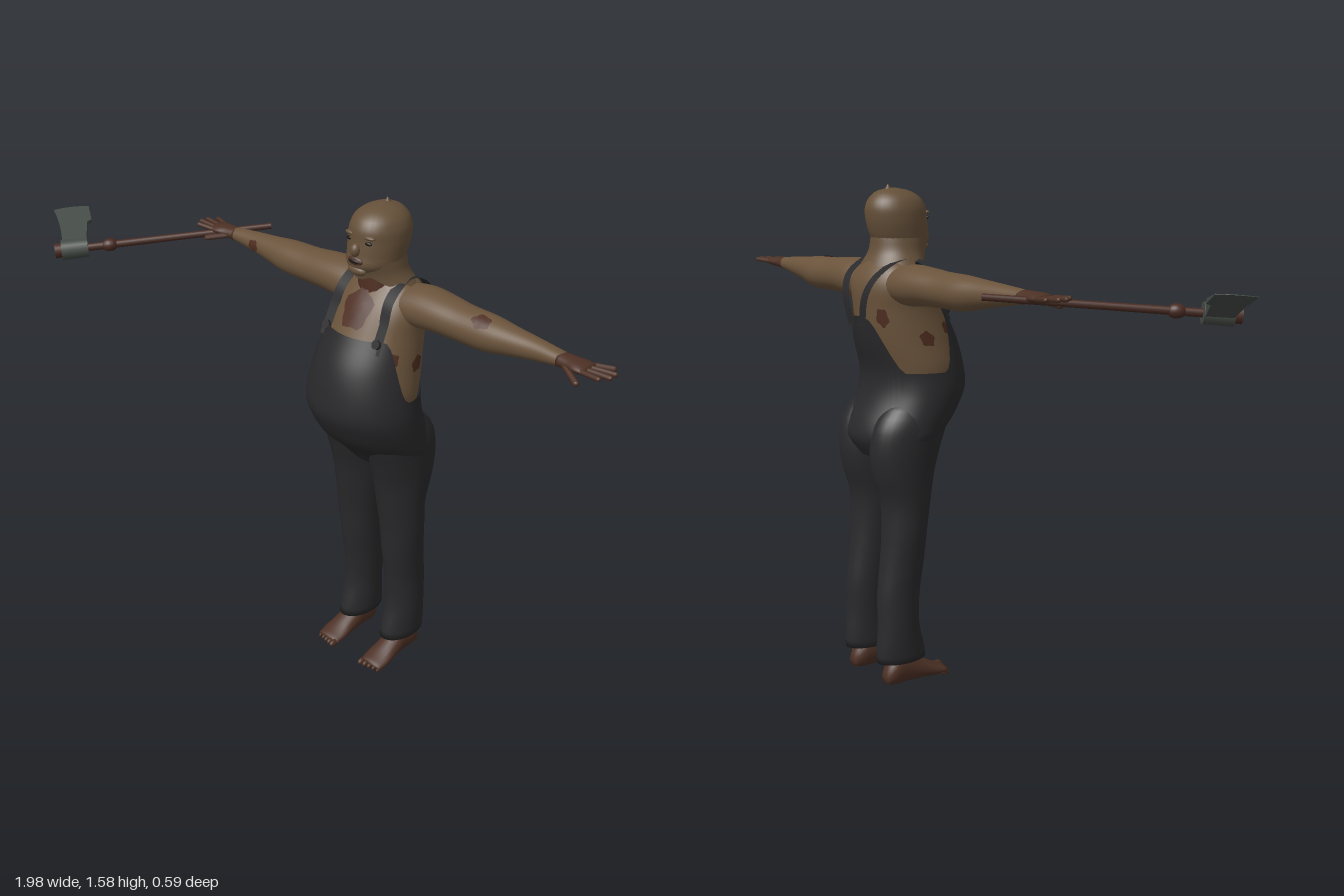
import * as THREE from 'three';

const mat = (name, color, side = THREE.FrontSide) => {
  const m = new THREE.MeshStandardMaterial({ color, side });
  m.name = name;
  return m;
};
const M = {
  skin: mat('skin', 0x6a533b),
  hood: mat('hood leather', 0x655039, THREE.DoubleSide),
  denim: mat('dark denim', 0x29292b, THREE.DoubleSide),
  dirty: mat('dirty skin', 0x4c3024),
  wound: mat('wound', 0x4d2c1f, THREE.DoubleSide),
  dark: mat('dark openings', 0x1f1814),
  wood: mat('handle wood', 0x472a21),
  steel: mat('steel', 0x444a45),
};

// Smooth lookup of section rows [t, centre1, centre2, radius1, radius2]
const sections = rows => {
  const curve = new THREE.CubicInterpolant(rows.map(r => r[0]), rows.flatMap(r => r.slice(1)), 4, new Float32Array(4));
  return t => Array.from(curve.evaluate(t));
};
// Point of a lofted surface; a is the angle around the axis
const surface = (at, axis, side, t, a, grow = 0) => {
  const [c1, c2, r1, r2] = at(t);
  const p = c1 + (r1 + grow) * Math.cos(a), q = c2 + (r2 + grow) * Math.sin(a);
  if (axis === 'y') return [side * p, t, q];
  return axis === 'x' ? [side * t, p, q] : [side * p, q, t];
};

// Loft through elliptical sections, with optional uneven ends and end caps
function loft(rows, { axis = 'y', side = 1, seg = 32, n = 28, from, to, caps = true } = {}) {
  const at = sections(rows), pos = [], idx = [];
  const t0 = from || (() => rows[0][0]), t1 = to || (() => rows[rows.length - 1][0]);
  const flip = (axis === 'y') !== (side < 0);
  const tri = (a, b, c) => flip ? idx.push(a, c, b) : idx.push(a, b, c);
  for (let j = 0; j <= n; j++) for (let i = 0; i < seg; i++) {
    const a = i / seg * Math.PI * 2;
    pos.push(...surface(at, axis, side, THREE.MathUtils.lerp(t0(a), t1(a), j / n), a));
  }
  for (let j = 0; j < n; j++) for (let i = 0; i < seg; i++) {
    const k = (i + 1) % seg, a = j * seg + i, b = j * seg + k;
    tri(a, b, b + seg);
    tri(a, b + seg, a + seg);
  }
  if (caps) for (const j of [0, n]) {
    const c = pos.length / 3, [c1, c2] = at(rows[j ? rows.length - 1 : 0][0]);
    pos.push(...surface(() => [c1, c2, 0, 0], axis, side, rows[j ? rows.length - 1 : 0][0], 0));
    for (let i = 0; i < seg; i++) {
      const a = j * seg + i, b = j * seg + (i + 1) % seg;
      j ? tri(a, b, c) : tri(b, a, c);
    }
  }
  return finish(pos, idx);
}
function finish(pos, idx) {
  const g = new THREE.BufferGeometry();
  g.setAttribute('position', new THREE.Float32BufferAttribute(pos, 3));
  g.setIndex(idx);
  g.computeVertexNormals();
  return g;
}
// Ragged thin blotch lying on a lofted surface
function blotch(rows, axis, side, t, a, rt, ra) {
  const at = sections(rows), pos = [...surface(at, axis, side, t, a, 0.004)], idx = [], n = 18;
  for (const ring of [0.5, 1]) for (let i = 0; i < n; i++) {
    const w = i / n * Math.PI * 2, k = ring * (1 + 0.13 * Math.sin(w * 5 + t * 40));
    pos.push(...surface(at, axis, side, t + rt * k * Math.sin(w), a + ra * k * Math.cos(w), 0.004));
  }
  for (let i = 0; i < n; i++) {
    const p = 1 + i, q = 1 + (i + 1) % n;
    idx.push(0, p, q, p, p + n, q + n, p, q + n, q);
  }
  return finish(pos, idx);
}

const TORSO = [[0.95, 0, -0.085, 0.165, 0.14], [1.02, 0, -0.092, 0.172, 0.143], [1.1, 0, -0.11, 0.161, 0.145],
  [1.2, 0, -0.14, 0.148, 0.128], [1.28, 0, -0.163, 0.146, 0.105], [1.33, 0, -0.168, 0.115, 0.075], [1.36, 0, -0.16, 0.06, 0.055]];
const OVERALLS = [[0.74, 0, -0.175, 0.13, 0.085], [0.8, 0, -0.165, 0.176, 0.13], [0.85, 0, -0.133, 0.183, 0.152],
  [0.9, 0, -0.105, 0.187, 0.156], [0.95, 0, -0.085, 0.188, 0.158], [1, 0, -0.084, 0.183, 0.156],
  [1.1, 0, -0.109, 0.169, 0.158], [1.2, 0, -0.142, 0.155, 0.142]];
const LEG = [[0.08, 0.092, -0.2, 0.054, 0.087], [0.11, 0.092, -0.203, 0.055, 0.085], [0.2, 0.093, -0.21, 0.056, 0.071],
  [0.3, 0.09, -0.207, 0.058, 0.072], [0.4, 0.09, -0.193, 0.063, 0.073], [0.5, 0.091, -0.183, 0.07, 0.073],
  [0.6, 0.088, -0.175, 0.076, 0.081], [0.7, 0.087, -0.18, 0.084, 0.105], [0.78, 0.088, -0.171, 0.088, 0.121],
  [0.86, 0.09, -0.15, 0.085, 0.122], [0.92, 0.09, -0.14, 0.06, 0.08]];
const FOOT = [[-0.265, 0.095, 0.028, 0.018, 0.02], [-0.245, 0.095, 0.042, 0.032, 0.041], [-0.19, 0.095, 0.05, 0.036, 0.05],
  [-0.13, 0.097, 0.034, 0.041, 0.034], [-0.08, 0.098, 0.02, 0.045, 0.02], [-0.045, 0.098, 0.013, 0.041, 0.012]];
const ARM = [[0.07, 1.275, -0.17, 0.055, 0.068], [0.15, 1.279, -0.175, 0.063, 0.073], [0.22, 1.281, -0.173, 0.058, 0.069],
  [0.3, 1.278, -0.17, 0.054, 0.061], [0.4, 1.277, -0.169, 0.052, 0.056], [0.47, 1.281, -0.166, 0.042, 0.044],
  [0.55, 1.285, -0.164, 0.032, 0.033], [0.62, 1.288, -0.16, 0.023, 0.027], [0.67, 1.289, -0.158, 0.017, 0.025]];
const HAND = [[0.635, 1.288, -0.159, 0.021, 0.027], [0.67, 1.29, -0.157, 0.018, 0.03], [0.7, 1.291, -0.155, 0.016, 0.036],
  [0.73, 1.291, -0.155, 0.011, 0.036]];
const HEAD = [[1.37, 0, -0.128, 0.062, 0.075], [1.4, 0, -0.121, 0.078, 0.09], [1.43, 0, -0.129, 0.083, 0.095],
  [1.47, 0, -0.137, 0.086, 0.098], [1.51, 0, -0.14, 0.082, 0.095], [1.54, 0, -0.143, 0.064, 0.074],
  [1.557, 0, -0.148, 0.034, 0.042], [1.563, 0, -0.15, 0.008, 0.01]];
const HEM = [[1.325, 0, -0.155, 0.118, 0.092], [1.37, 0, -0.137, 0.09, 0.087], [1.415, 0, -0.124, 0.081, 0.093]];

export function createModel() {
  const model = new THREE.Group(), body = new THREE.Group();
  body.name = 'figure';
  body.position.x = 0.19;
  model.add(body);
  const add = (name, geo, material, parent = body) => {
    const m = new THREE.Mesh(geo, material);
    m.name = name;
    parent.add(m);
    return m;
  };
  const ball = (name, p, s, material) => {
    const m = add(name, new THREE.SphereGeometry(1, 16, 12), material);
    m.position.set(...p);
    m.scale.set(...s);
    return m;
  };
  // Tapered finger between two points
  const finger = (name, a, b, r) => {
    const A = new THREE.Vector3(...a), B = new THREE.Vector3(...b), d = B.clone().sub(A);
    const m = add(name, new THREE.CapsuleGeometry(r, d.length(), 4, 8), M.dirty);
    m.position.copy(A).lerp(B, 0.5);
    m.quaternion.setFromUnitVectors(new THREE.Vector3(0, 1, 0), d.normalize());
  };

  // Torso and overalls with a high bib, low sides and a pointed back
  add('torso', loft(TORSO), M.skin);
  const { smoothstep } = THREE.MathUtils;
  const hemline = a => 1.01 + 0.185 * smoothstep(Math.sin(a), 0, 0.7) + 0.17 * smoothstep(-Math.sin(a), 0.72, 1);
  add('overalls', loft(OVERALLS, { seg: 64, to: hemline, caps: false }), M.denim);

  for (const s of [1, -1]) {
    const side = s > 0 ? 'left' : 'right';
    add(side + 'TrouserLeg', loft(LEG, { side: s, n: 36 }), M.denim);
    add(side + 'Arm', loft(ARM, { axis: 'x', side: s }), M.skin);

    // Shoulder strap
    const path = new THREE.CatmullRomCurve3([[0.1, 1.16, -0.016], [0.098, 1.24, -0.054], [0.092, 1.305, -0.083],
      [0.086, 1.353, -0.165], [0.076, 1.31, -0.258], [0.055, 1.25, -0.29], [0.028, 1.15, -0.287]].map(p => new THREE.Vector3(...p)));
    const strap = new THREE.PlaneGeometry(1, 1, 1, 30), sp = strap.attributes.position;
    for (let i = 0; i < sp.count; i++) {
      const p = path.getPoint(0.5 - sp.getY(i));
      sp.setXYZ(i, s * p.x + sp.getX(i) * 0.036, p.y, p.z);
    }
    strap.computeVertexNormals();
    add(side + 'Strap', strap, M.denim);
    const button = add(side + 'StrapButton', new THREE.CylinderGeometry(0.014, 0.014, 0.01, 14).rotateX(Math.PI / 2 - 0.4), M.denim);
    button.position.set(s * 0.1, 1.19, -0.024);

    // Bare foot
    add(side + 'Foot', loft(FOOT, { axis: 'z', side: s, seg: 20, n: 18 }), M.dirty);
    for (let i = 0; i < 5; i++) {
      const r = 0.012 - i * 0.0012;
      ball(side + 'Toe', [s * (0.066 + i * 0.0165), r, -0.04 - i * 0.004], [r * 0.8, r, 0.018], M.dirty);
    }

    // Open hand
    add(side + 'Hand', loft(HAND, { axis: 'x', side: s, seg: 20, n: 12 }), M.dirty);
    [0.775, 0.796, 0.798, 0.78].forEach((tip, i) =>
      finger(side + 'Finger', [s * 0.715, 1.291, -0.182 + i * 0.018], [s * tip, 1.295, -0.196 + i * 0.026], 0.0075));
    finger(side + 'Thumb', [s * 0.665, 1.284, -0.135], [s * 0.725, 1.268, -0.102], 0.009);

    // Flank, back and chest wounds
    add(side + 'FlankWound', blotch(TORSO, 'y', s, 1.115, -0.15, 0.023, 0.16), M.wound);
    add(side + 'ChestWound', blotch(TORSO, 'y', s, 1.14, 0.5, 0.02, 0.13), M.wound);
    add(side + 'BackWound', blotch(TORSO, 'y', s, 1.18, -1.0, 0.028, 0.14), M.wound);

    // Eye hole
    ball(side + 'Eye', [s * 0.034, 1.472, -0.05], [0.014, 0.006, 0.006], M.dark);
    ball(side + 'Brow', [s * 0.034, 1.488, -0.055], [0.022, 0.007, 0.012], M.hood);
  }
  add('leftArmWound', blotch(ARM, 'x', 1, 0.385, 0.65, 0.03, 0.4), M.wound);
  add('rightArmWound', blotch(ARM, 'x', -1, 0.53, 1.5, 0.022, 0.5), M.wound);
  add('throatWound', blotch(TORSO, 'y', 1, 1.265, Math.PI / 2, 0.055, 0.34), M.wound);

  // Neck, hooded head and ragged hood hem
  const neck = add('neck', new THREE.CylinderGeometry(0.062, 0.072, 0.1, 24), M.wound);
  neck.position.set(0, 1.355, -0.15);
  add('head', loft(HEAD), M.hood);
  add('hoodHem', loft(HEM, { seg: 48, n: 8, caps: false, from: a => 1.337 + 0.008 * Math.sin(a * 7) + 0.025 * Math.max(0, Math.sin(a)) }), M.hood);
  ball('nose', [0, 1.448, -0.036], [0.015, 0.02, 0.016], M.hood);
  ball('lips', [0, 1.416, -0.036], [0.028, 0.014, 0.009], M.dirty);
  ball('mouth', [0, 1.416, -0.031], [0.02, 0.006, 0.006], M.dark);
  ball('chin', [0, 1.386, -0.045], [0.034, 0.016, 0.016], M.hood);
  const tuft = add('hoodKnot', new THREE.ConeGeometry(0.016, 0.024, 8), M.hood);
  tuft.position.set(0, 1.563, -0.165);

  // Axe: local x runs along the handle, local y towards the cutting edge
  const axe = new THREE.Group();
  axe.name = 'axe';
  const u = new THREE.Vector3(-0.41, -0.05, 0.55).normalize();
  const v = new THREE.Vector3(-0.165, 0.072, -0.1).addScaledVector(u, -u.dot(new THREE.Vector3(-0.165, 0.072, -0.1))).normalize();
  axe.quaternion.setFromRotationMatrix(new THREE.Matrix4().makeBasis(u, v, u.clone().cross(v)));
  axe.position.set(-0.8, 1.247, 0.235);
  model.add(axe);
  const rod = (name, x0, x1, r0, r1, material) => {
    const m = add(name, new THREE.CylinderGeometry(r1, r0, x1 - x0, 14).rotateZ(-Math.PI / 2), material, axe);
    m.position.x = (x0 + x1) / 2;
  };
  rod('axeHandle', -0.642, 0.06, 0.01, 0.013, M.wood);
  rod('axeHandleEnd', 0.03, 0.062, 0.022, 0.024, M.wood);
  rod('axeCollar', -0.045, 0.04, 0.031, 0.033, M.steel);
  const knob = add('handleBinding', new THREE.SphereGeometry(0.021, 14, 10), M.wood, axe);
  knob.position.x = -0.115;
  knob.scale.x = 1.3;
  const shape = new THREE.Shape();
  shape.moveTo(0.036, 0);
  shape.quadraticCurveTo(0.036, 0.12, 0.06, 0.2);
  shape.quadraticCurveTo(0, 0.212, -0.056, 0.2);
  shape.lineTo(-0.062, 0.125);
  shape.lineTo(-0.048, 0.115);
  shape.lineTo(-0.04, 0);
  const blade = new THREE.ExtrudeGeometry(shape, { depth: 0.036, bevelEnabled: false, curveSegments: 8 }).translate(0, 0, -0.018);
  const bp = blade.attributes.position;
  for (let i = 0; i < bp.count; i++) bp.setZ(i, bp.getZ(i) * (1 - 0.95 * Math.min(1, bp.getY(i) / 0.2)));
  blade.computeVertexNormals();
  add('axeBlade', blade, M.steel, axe);
  return model;
}
